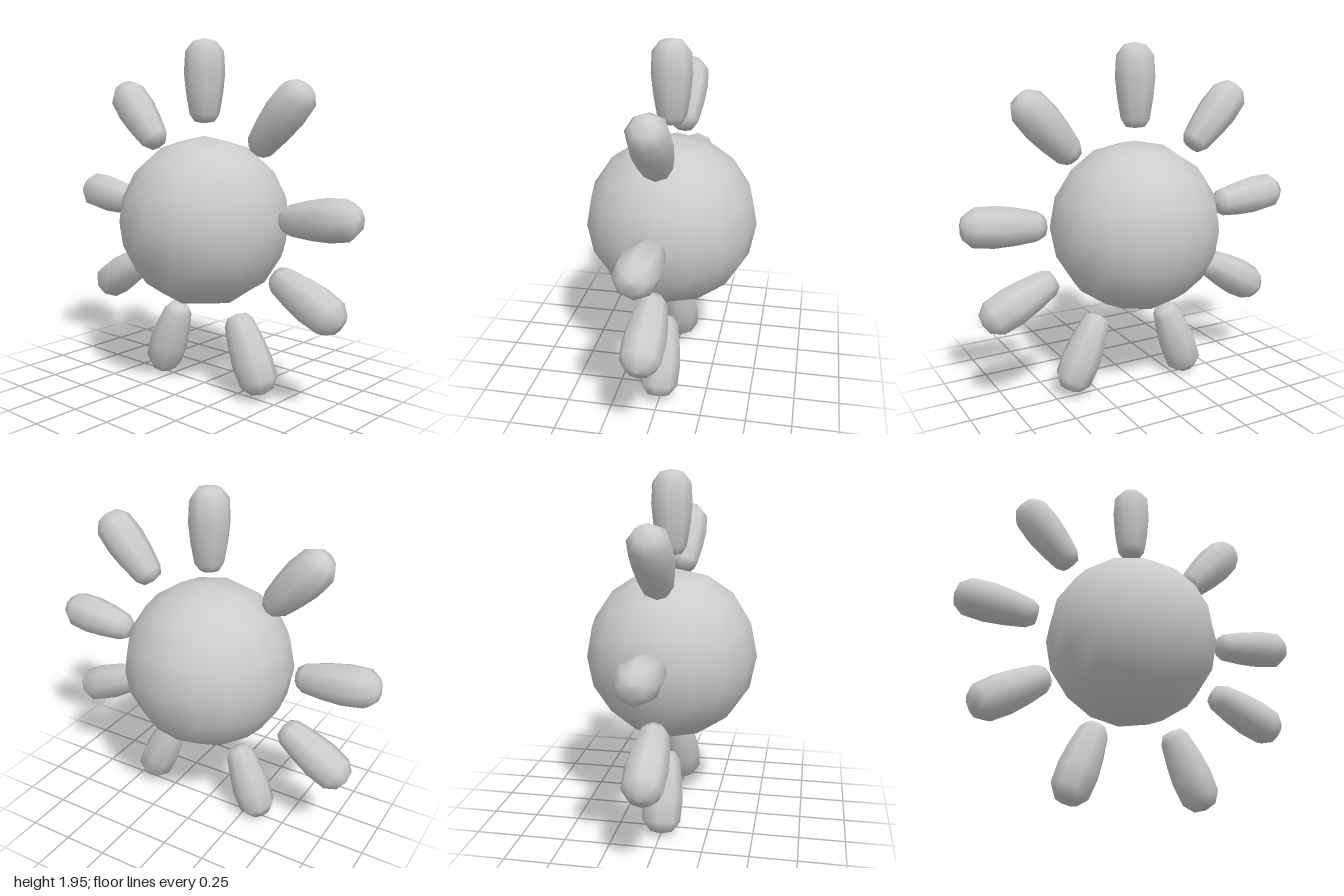
import * as THREE from 'three';

const CENTER_Y = 0.955;
const RADIUS = 0.477;

// Low-poly ball: a gridded cube pushed out to a sphere, with smooth normals
function ballGeometry() {
  const geometry = new THREE.BoxGeometry(2, 2, 2, 4, 4, 4);
  const position = geometry.attributes.position;
  const normal = geometry.attributes.normal;
  const even = (t) => Math.tan((t * Math.PI) / 4); // even angular spacing
  const v = new THREE.Vector3();
  for (let i = 0; i < position.count; i++) {
    v.fromBufferAttribute(position, i);
    v.set(even(v.x), even(v.y), even(v.z)).normalize();
    normal.setXYZ(i, v.x, v.y, v.z);
    v.multiplyScalar(RADIUS);
    position.setXYZ(i, v.x, v.y, v.z);
  }
  return geometry;
}

// Rounded eight-sided ray, narrower toward the ball: [radius, distance from centre]
function rayGeometry() {
  const profile = [
    [0, 0.546], [0.055, 0.555], [0.082, 0.595], [0.102, 0.71],
    [0.113, 0.82], [0.106, 0.935], [0.063, 0.99], [0, 1.004],
  ].map(([r, d]) => new THREE.Vector2(r, d));
  return new THREE.LatheGeometry(profile, 8);
}

export function createModel() {
  const group = new THREE.Group();
  group.name = 'sun';
  const material = new THREE.MeshStandardMaterial({ color: 0xcccccc });

  const ball = new THREE.Mesh(ballGeometry(), material);
  ball.name = 'ball';
  ball.position.y = CENTER_Y;
  group.add(ball);

  // Slightly uneven ring of rays, angles in degrees from +x
  const geometry = rayGeometry();
  const angles = [90, 48.2, 6.3, -25.4, -64.8, -110.7, -149.6, 173.7, 131.5];
  angles.forEach((angle, i) => {
    const ray = new THREE.Mesh(geometry, material);
    ray.name = `ray${i + 1}`;
    ray.position.y = CENTER_Y;
    ray.rotation.z = THREE.MathUtils.degToRad(angle - 90);
    group.add(ray);
  });
  return group;
}
